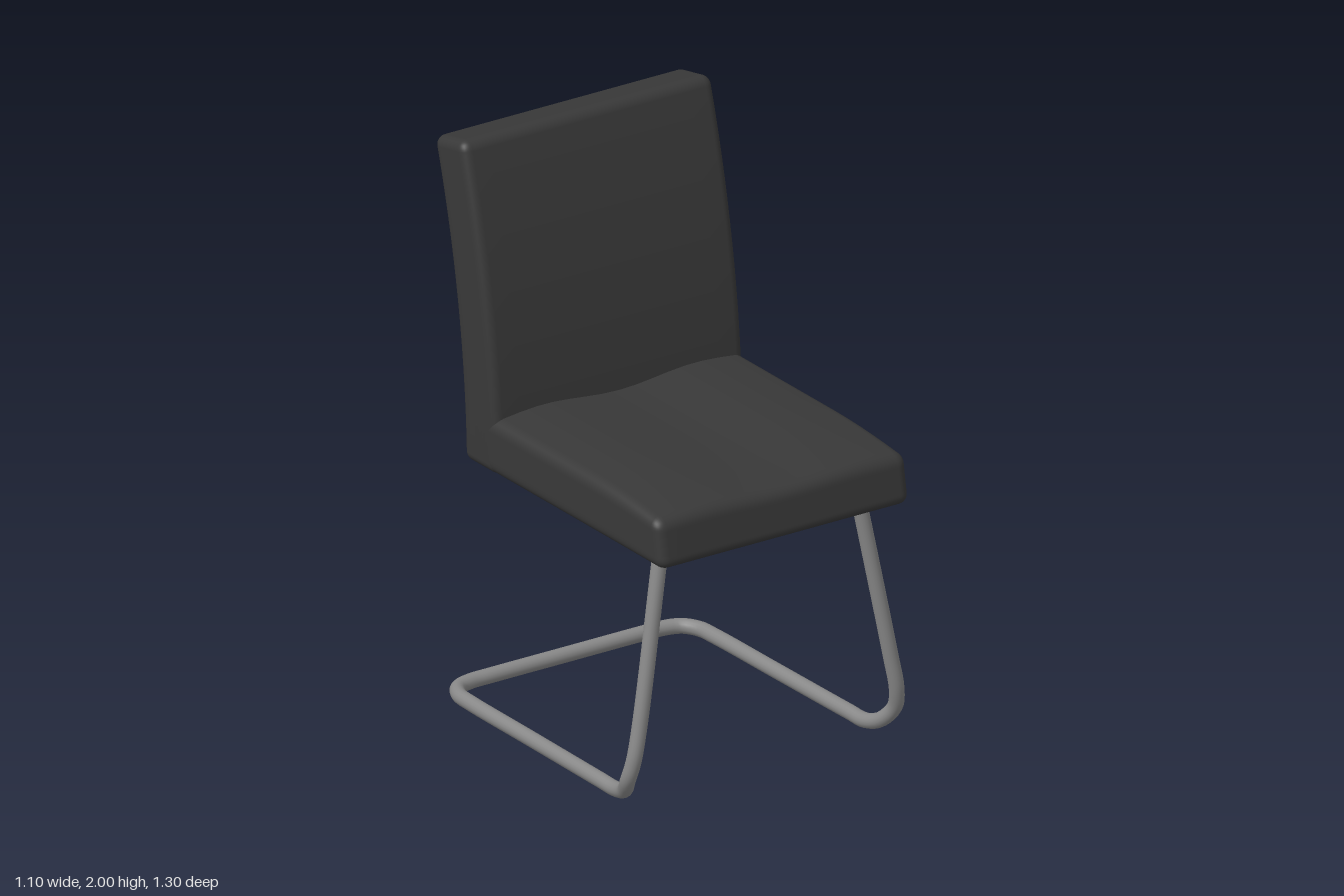
import * as THREE from 'three';
import { mergeVertices } from 'three/addons/utils/BufferGeometryUtils.js';

const upholstery = new THREE.MeshStandardMaterial({ color: 0x383838 });
upholstery.name = 'charcoal upholstery';
const steel = new THREE.MeshStandardMaterial({ color: 0x888888 });
steel.name = 'grey steel';

// Rounded box with subdivided faces, shaped by warp(p); vertices are welded for smooth normals
function cushion(w, h, d, r, warp) {
  const edge = 4, mid = 14, n = edge * 2 + mid;
  const geo = new THREE.BoxGeometry(1, 1, 1, n, n, n);
  geo.deleteAttribute('uv');
  geo.deleteAttribute('normal');
  // Concentrate the outer rows in the rounded edge
  const remap = (t, size) => {
    const i = Math.round((t + 0.5) * n), half = size / 2;
    if (i < edge) return -half + (i / edge) * r;
    if (i > n - edge) return half - ((n - i) / edge) * r;
    return -half + r + ((i - edge) / mid) * (size - 2 * r);
  };
  const pos = geo.attributes.position;
  const p = new THREE.Vector3(), inner = new THREE.Vector3();
  const limit = new THREE.Vector3(w / 2 - r, h / 2 - r, d / 2 - r);
  const low = limit.clone().negate();
  for (let i = 0; i < pos.count; i++) {
    p.set(remap(pos.getX(i), w), remap(pos.getY(i), h), remap(pos.getZ(i), d));
    inner.copy(p).clamp(low, limit);
    p.sub(inner).setLength(r).add(inner);
    warp(p);
    pos.setXYZ(i, p.x, p.y, p.z);
  }
  const welded = mergeVertices(geo, 1e-5);
  welded.computeVertexNormals();
  return welded;
}

function addMesh(group, name, geometry, material) {
  const mesh = new THREE.Mesh(geometry, material);
  mesh.name = name;
  group.add(mesh);
}

export function createModel() {
  const chair = new THREE.Group();
  chair.name = 'cantileverChair';

  // Seat: dished top that falls away toward a leaning front lip
  const seat = cushion(0.99, 0.195, 1.1, 0.04, (p) => {
    const top = (p.y + 0.0975) / 0.195;
    const z = p.z + 0.105;
    const front = Math.max(0, (z - 0.2) / 0.455);
    const wave = 0.011 * Math.cos(p.x * 10.5);
    p.y += 0.9825 + top * (0.002 - wave * (1 - 0.6 * front) - 0.028 * front * front);
    p.z = z - 0.03 * top * Math.max(0, front);
  });
  addMesh(chair, 'seat', seat, upholstery);

  // Backrest: curves backward toward the top, which is square to the lean
  const back = cushion(0.99, 1.1, 0.185, 0.035, (p) => {
    const u = (p.y + 0.55) / 1.1;
    const z = p.z * (1.02 - 0.08 * u);
    p.y += 1.435 + z * 0.2 * u;
    p.z = z - 0.385 - 0.03 * u - 0.155 * u * u;
  });
  addMesh(chair, 'backrest', back, upholstery);

  // Frame: one bent tube, half its path mirrored across x
  const half = [
    [0.38, 0.93, 0.495], [0.39, 0.88, 0.497], [0.492, 0.32, 0.53],
    [0.519, 0.18, 0.53], [0.526, 0.11, 0.508], [0.505, 0.052, 0.458],
    [0.492, 0.028, 0.39], [0.49, 0.027, 0.3], [0.485, 0.027, -0.1],
    [0.481, 0.027, -0.45], [0.474, 0.027, -0.53], [0.44, 0.027, -0.583],
    [0.38, 0.027, -0.602], [0.3, 0.027, -0.604],
  ];
  const path = [
    ...half,
    [0, 0.027, -0.604],
    ...half.slice().reverse().map(([x, y, z]) => [-x, y, z]),
  ].map((c) => new THREE.Vector3(...c));
  const curve = new THREE.CatmullRomCurve3(path, false, 'centripetal');
  addMesh(chair, 'tubularFrame', new THREE.TubeGeometry(curve, 260, 0.026, 16), steel);

  return chair;
}
